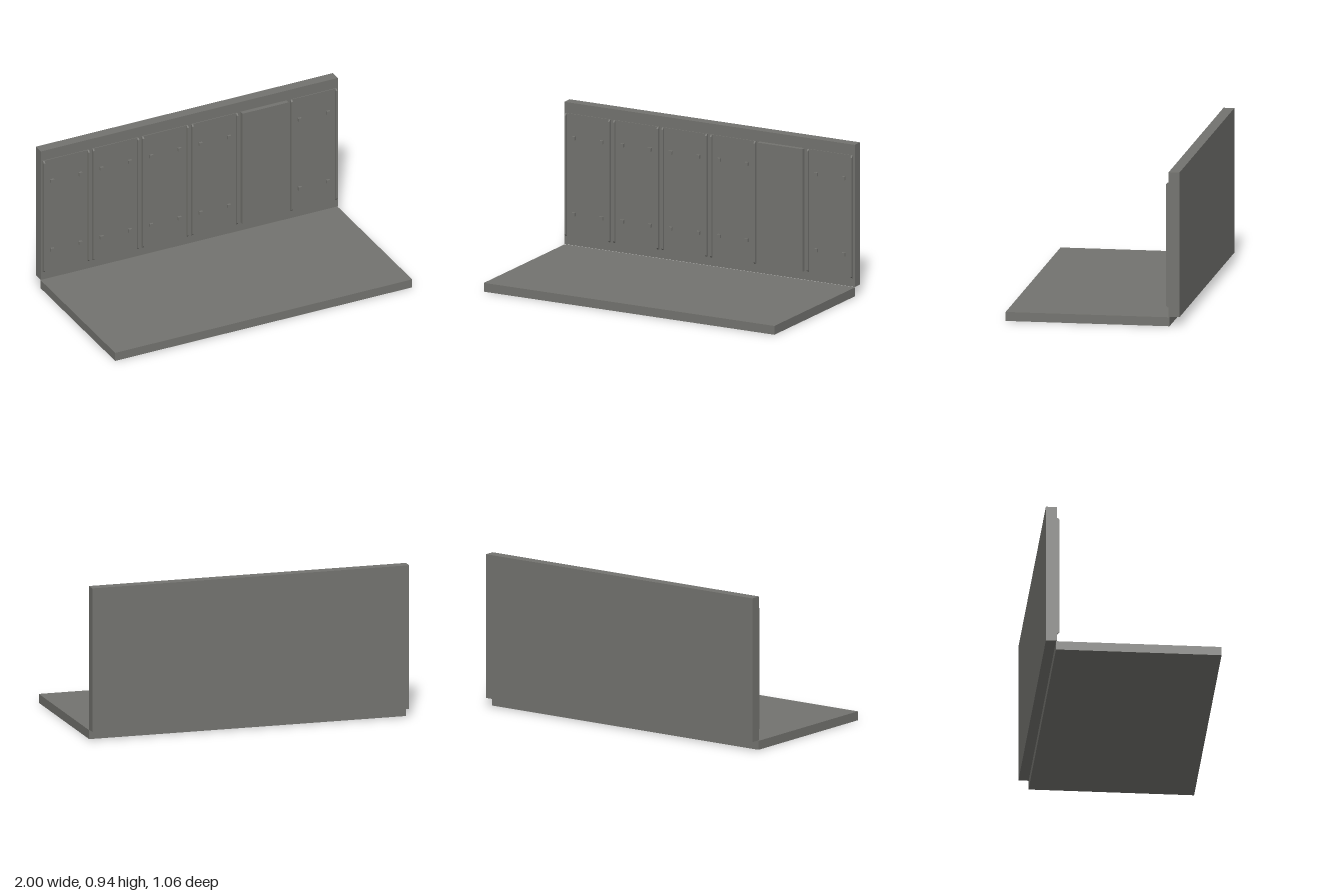
import * as THREE from 'three';

const stone = new THREE.MeshStandardMaterial({ color: 0x73736f });
stone.name = 'warm grey';

// Box given by its minimum and maximum corners
function block(parent, name, [x0, y0, z0], [x1, y1, z1]) {
  const mesh = new THREE.Mesh(new THREE.BoxGeometry(x1 - x0, y1 - y0, z1 - z0), stone);
  mesh.position.set((x0 + x1) / 2, (y0 + y1) / 2, (z0 + z1) / 2);
  mesh.name = name;
  parent.add(mesh);
}

const WALL_Z = -0.464, BOTTOM = 0.113, TOP = 0.878, HALF = 0.155;

// Narrow raised lip with bevelled ends; profile is drawn in (z, y)
function lip(parent, x) {
  const s = new THREE.Shape([
    [0, BOTTOM], [0.008, BOTTOM], [0.018, BOTTOM + 0.011],
    [0.018, TOP - 0.011], [0.008, TOP], [0, TOP],
  ].map(([z, y]) => new THREE.Vector2(-z, y)));
  const geo = new THREE.ExtrudeGeometry(s, { depth: 0.01, bevelEnabled: false });
  geo.rotateY(Math.PI / 2); // shape x becomes -z, extrusion runs along +x
  const mesh = new THREE.Mesh(geo, stone);
  mesh.position.set(x - 0.005, 0, WALL_Z);
  mesh.name = 'panelLip';
  parent.add(mesh);
}

export function createModel() {
  const model = new THREE.Group();
  model.name = 'floorAndPanelledWall';

  block(model, 'floorSlab', [-1, 0, -0.469], [1, 0.055, 0.53]);
  block(model, 'backWall', [-1, 0.058, -0.53], [1, 0.945, WALL_Z]);

  // Six wall panels; the fifth is a plain, thicker one
  for (let i = 0; i < 6; i++) {
    const panel = new THREE.Group();
    panel.name = 'wallPanel' + (i + 1);
    panel.position.x = (i - 2.5) * 0.3335;
    model.add(panel);

    const plain = i === 4;
    block(panel, 'panelFace', [-HALF, BOTTOM, WALL_Z - 0.004],
      [HALF, TOP, plain ? -0.436 : -0.459]);
    if (plain) continue;

    for (const side of [-1, 1]) {
      lip(panel, side * (HALF - 0.005));
      // Square bolt heads near the corners
      for (const y of [0.255, 0.73]) {
        const x = side * 0.095, r = 0.011;
        block(panel, 'boltHead', [x - r, y - r, WALL_Z], [x + r, y + r, -0.445]);
      }
    }
  }
  return model;
}
